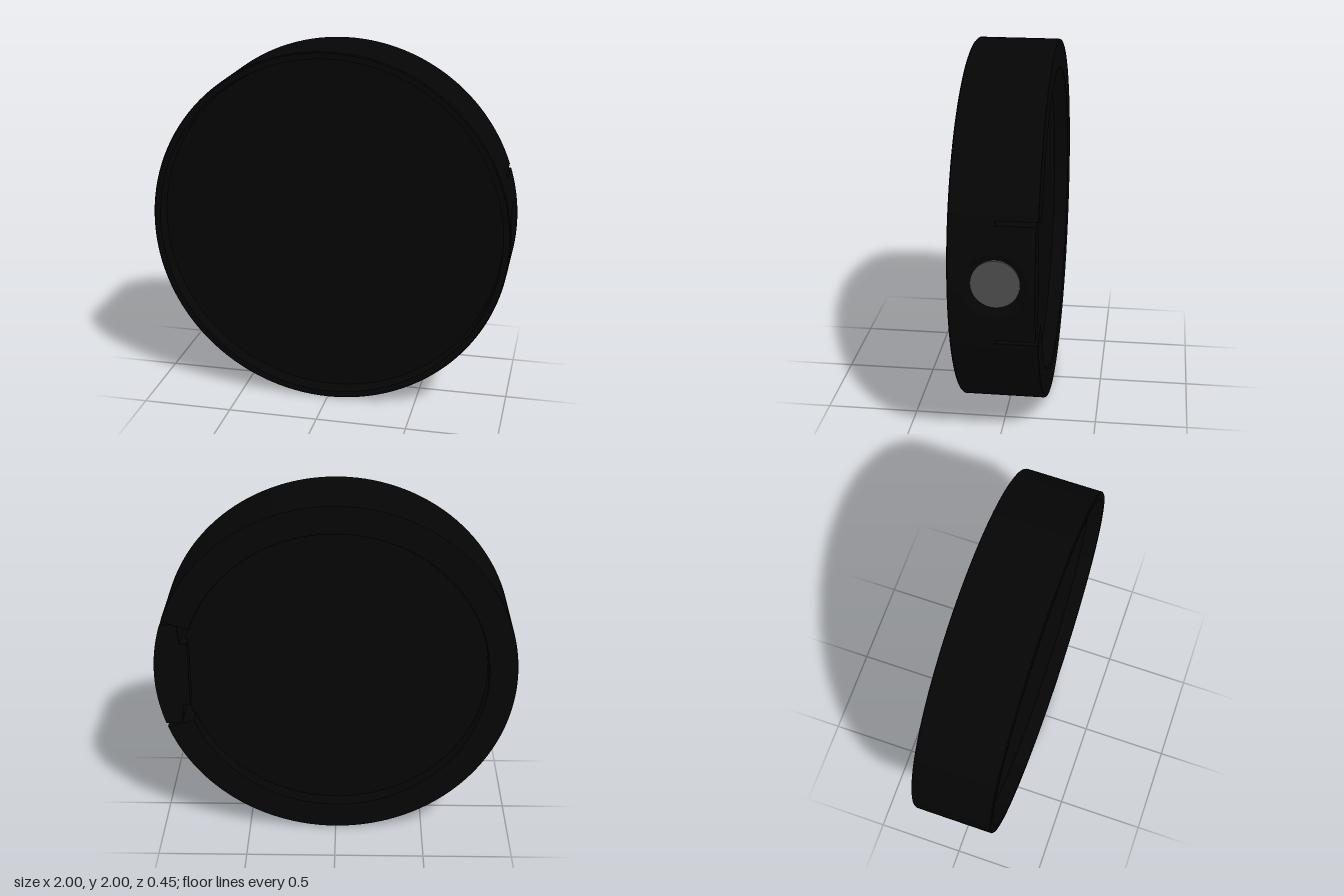
import * as THREE from 'three';
import { toCreasedNormals } from 'three/addons/utils/BufferGeometryUtils.js';

const HALF = 0.225;       // half depth of the disc
const FLOOR = 0.142;      // distance of the recessed faces from the middle
const EDGE = HALF - 0.006;
const SPLIT = -0.01;      // the slots end here
const TAB_Y = 0.308;      // half height of the button tab
const TAB = Math.asin(TAB_Y);
const GAP = Math.asin(0.33); // half angle of the opening in the back ring
const TAB_BACK = -0.213;

export function createModel() {
  const black = new THREE.MeshStandardMaterial({ color: 0x050505 });
  black.name = 'black housing';
  const grey = new THREE.MeshStandardMaterial({ color: 0x4d4d4d });
  grey.name = 'grey button';

  const model = new THREE.Group();
  const disc = new THREE.Group();
  disc.name = 'disc';
  disc.position.y = 1;
  model.add(disc);

  const add = (name, geometry, material = black) => {
    const mesh = new THREE.Mesh(geometry, material);
    mesh.name = name;
    disc.add(mesh);
  };

  // Turned parts: points are [radius, z], from back to front
  const turned = (points) => toCreasedNormals(
    new THREE.LatheGeometry(points.map(([r, z]) => new THREE.Vector2(r, z)), 128).rotateX(Math.PI / 2), 0.4);

  // Front rim with a recessed face, and the recessed back floor
  add('frontFace', turned([[1, EDGE], [0.994, HALF], [0.962, HALF], [0.954, FLOOR], [0, FLOOR]]));
  add('backFloor', turned([[0, -FLOOR], [0.85, -FLOOR], [0.85, SPLIT]]));

  // Outer wall of the front half, left open at the tab
  const rest = Math.PI * 2 - TAB * 2;
  add('sideWall', new THREE.CylinderGeometry(1, 1, EDGE - SPLIT, 120, 1, true, Math.PI / 2 + TAB, rest)
    .rotateX(Math.PI / 2).translate(0, 0, (EDGE + SPLIT) / 2));

  // Floor of the slots
  add('slotFloor', new THREE.RingGeometry(0.84, 1, 120, 1, Math.PI + TAB, rest)
    .rotateY(Math.PI).translate(0, 0, SPLIT));

  // Tab wall with a round well for the button
  const wall = new THREE.CylinderGeometry(1, 1, EDGE - TAB_BACK, 90, 64, true, Math.PI / 2 - TAB, TAB * 2)
    .rotateX(Math.PI / 2).translate(0, 0, (EDGE + TAB_BACK) / 2);
  const p = wall.attributes.position;
  for (let i = 0; i < p.count; i++) {
    const d = Math.hypot(p.getY(i), p.getZ(i) - SPLIT);
    p.setX(i, p.getX(i) - 0.05 * THREE.MathUtils.clamp((0.168 - d) / 0.04, 0, 1));
  }
  wall.computeVertexNormals();
  add('tabWall', wall);

  // Back plate and core of the tab, with a stepped inner edge
  const tabSlab = (radius, z0, z1) => {
    const a = Math.asin(TAB_Y / radius);
    const s = new THREE.Shape();
    s.absarc(0, 0, radius, -a, a, false);
    s.lineTo(0.86, TAB_Y);
    s.lineTo(0.85, 0.19);
    s.lineTo(0.81, 0.19);
    s.lineTo(0.81, -0.19);
    s.lineTo(0.85, -0.19);
    s.lineTo(0.86, -TAB_Y);
    s.closePath();
    return new THREE.ExtrudeGeometry(s, { depth: z1 - z0, bevelEnabled: false, curveSegments: 32 })
      .translate(0, 0, z0);
  };
  add('tabBackPlate', tabSlab(1, TAB_BACK, TAB_BACK + 0.008));
  add('tabCore', tabSlab(0.94, TAB_BACK + 0.006, SPLIT));

  // Slot cheeks closing the tab's upper and lower sides
  for (const side of [-1, 1]) {
    add('tabCheek', new THREE.BoxGeometry(0.09, 0.01, SPLIT - TAB_BACK)
      .translate(0.905, side * (TAB_Y - 0.005), (SPLIT + TAB_BACK) / 2));
  }

  // Round button
  add('button', new THREE.CylinderGeometry(0.125, 0.125, 0.04, 64)
    .rotateZ(-Math.PI / 2).translate(0.937, 0, SPLIT), grey);

  // Raised back ring with softened edges
  const ring = new THREE.Shape();
  ring.absarc(0, 0, 1, GAP, Math.PI * 2 - GAP, false);
  ring.absarc(0, 0, 0.84, Math.PI * 2 - GAP, GAP, true);
  ring.closePath();
  const bevel = 0.012;
  const ringGeometry = new THREE.ExtrudeGeometry(ring, {
    depth: HALF - bevel + SPLIT + 0.02, curveSegments: 120,
    bevelEnabled: true, bevelThickness: bevel, bevelSize: bevel, bevelOffset: -bevel, bevelSegments: 2,
  }).translate(0, 0, -HALF + bevel);
  add('backRing', toCreasedNormals(ringGeometry, 0.35));

  return model;
}
